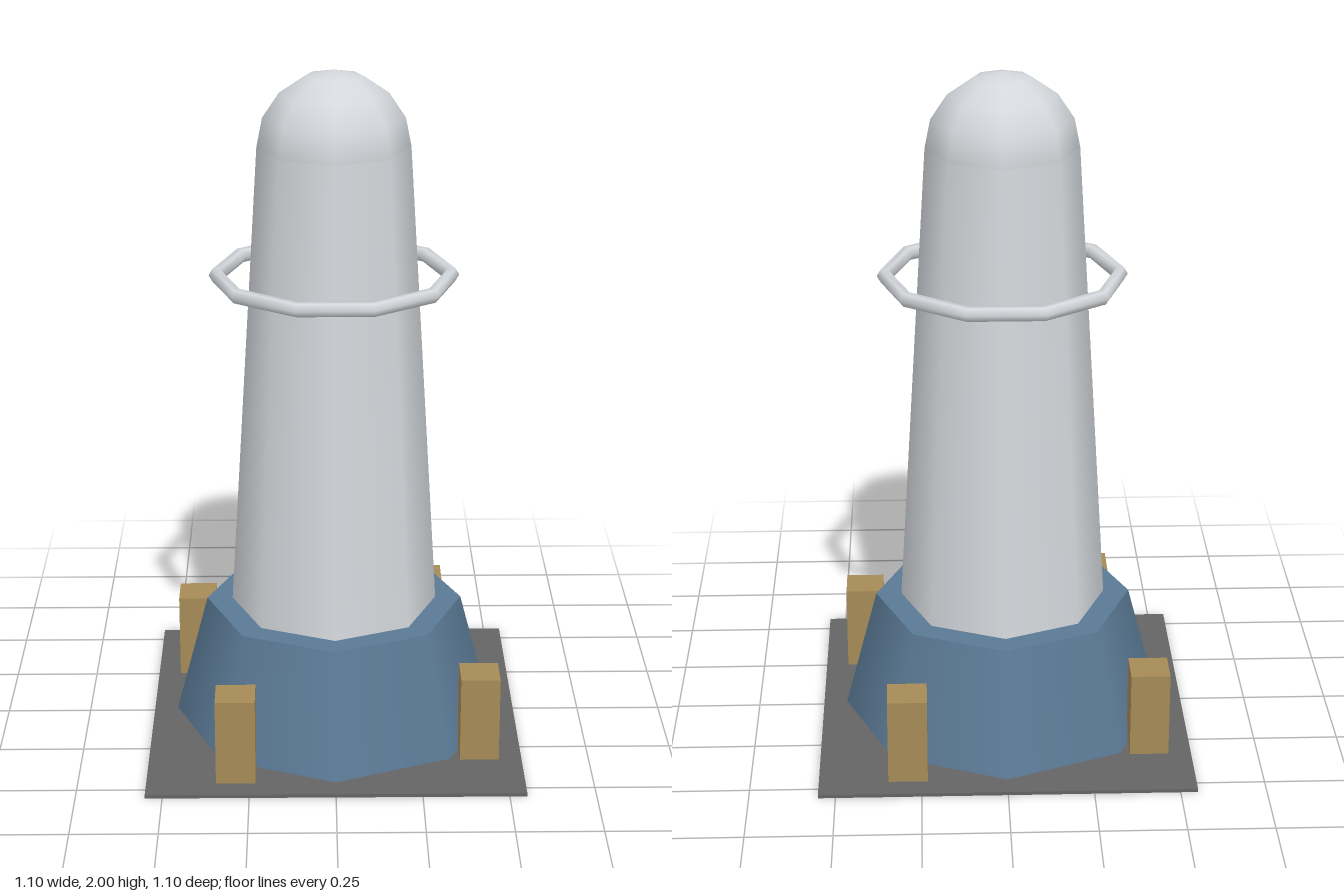
import * as THREE from 'three';

export function createModel() {
  const model = new THREE.Group();
  model.name = 'tower';

  const material = (name, color) => {
    const m = new THREE.MeshStandardMaterial({ color });
    m.name = name;
    return m;
  };
  const paleGrey = material('paleGrey', 0xd4d8dc);
  const blue = material('blue', 0x5b7a96);
  const tan = material('tan', 0xa68b56);
  const darkGrey = material('darkGrey', 0x646464);

  const add = (name, geometry, mat, x, y, z) => {
    const mesh = new THREE.Mesh(geometry, mat);
    mesh.name = name;
    mesh.position.set(x, y, z);
    model.add(mesh);
    return mesh;
  };

  // Thin square ground plate
  add('groundPlate', new THREE.BoxGeometry(1.1, 0.01, 1.1), darkGrey, 0, 0.005, 0);

  // Tapered eight-sided foot
  add('foot', new THREE.CylinderGeometry(0.383, 0.48, 0.37, 8), blue, 0, 0.195, 0);

  // Tapered column, standing on the foot
  add('column', new THREE.CylinderGeometry(0.22, 0.307, 1.4, 8), paleGrey, 0, 1.08, 0);

  // Rounded cap
  add('dome', new THREE.SphereGeometry(0.22, 8, 4, 0, Math.PI * 2, 0, Math.PI / 2), paleGrey, 0, 1.78, 0);

  // Ten-sided ring floating around the column
  const ring = add('ring', new THREE.TorusGeometry(0.34, 0.022, 6, 10), paleGrey, 0, 1.4, 0);
  ring.rotation.x = Math.PI / 2;

  // Four crates, each a quarter turn from the last
  const crate = new THREE.BoxGeometry(0.115, 0.26, 0.115);
  let [x, z] = [0.425, 0.29];
  for (let i = 0; i < 4; i++) {
    add('crate' + (i + 1), crate, tan, x, 0.14, z);
    [x, z] = [-z, x];
  }

  return model;
}
